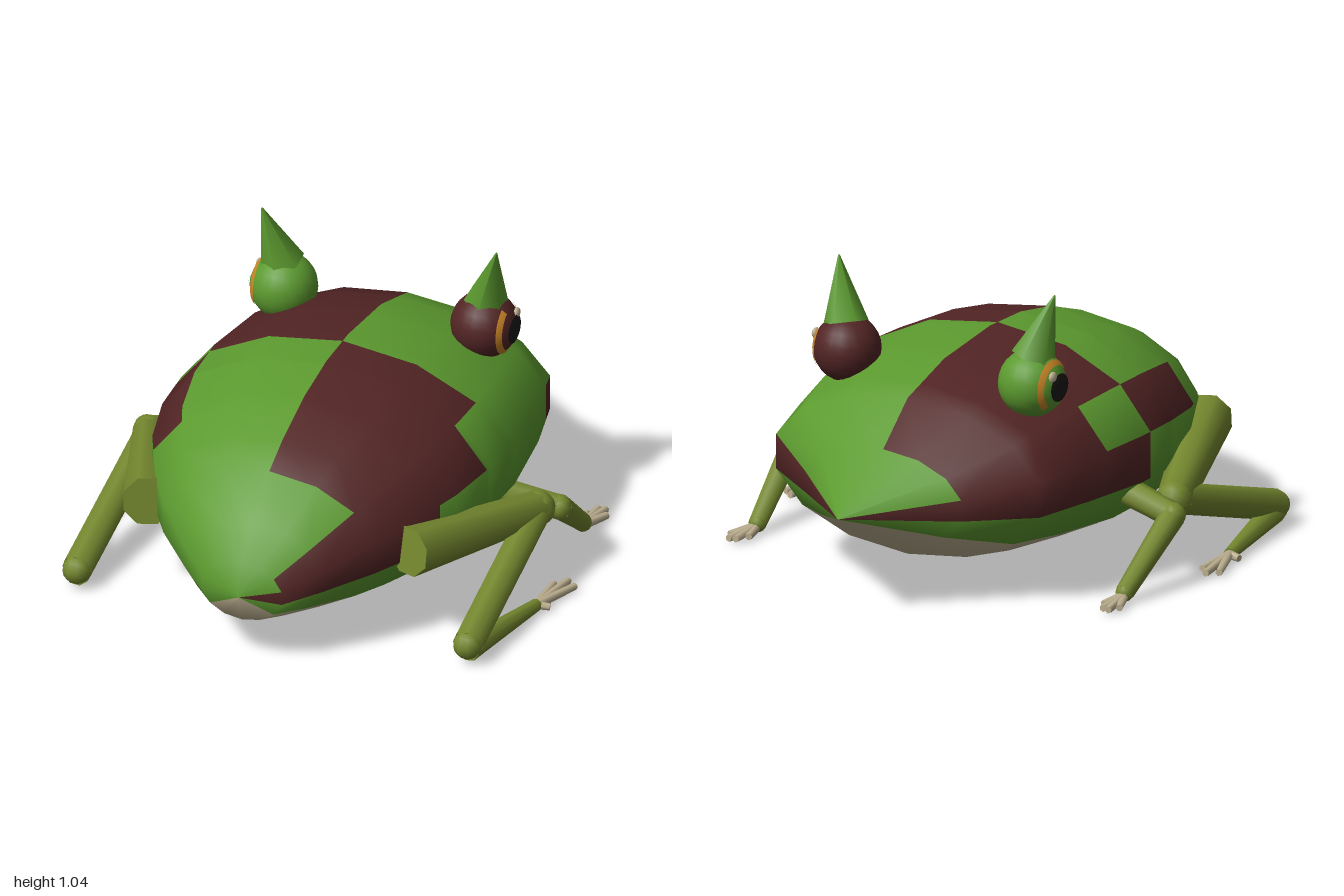
import * as THREE from 'three';

const mat = (name, color) => {
  const m = new THREE.MeshStandardMaterial({ color });
  m.name = name;
  return m;
};

export function createModel() {
  const root = new THREE.Group();
  root.name = 'hornedFrog';
  const green = mat('leaf green', 0x5c9a2f);
  const maroon = mat('maroon', 0x522424);
  const cream = mat('cream', 0xbfb292);
  const olive = mat('olive', 0x75882f);
  const gold = mat('gold', 0xc88426);
  const black = mat('black', 0x1a1918);

  const V = (p) => new THREE.Vector3(...p);
  const add = (parent, name, geo, material, pos) => {
    const m = new THREE.Mesh(geo, material);
    m.name = name;
    if (pos) m.position.set(...pos);
    parent.add(m);
    return m;
  };
  // Tapered rod between two points
  const rod = (parent, name, a, b, ra, rb, material, sides = 8) => {
    const A = V(a), B = V(b), d = B.clone().sub(A);
    const m = add(parent, name, new THREE.CylinderGeometry(rb, ra, d.length(), sides), material);
    m.position.copy(A).add(B).multiplyScalar(0.5);
    m.quaternion.setFromUnitVectors(new THREE.Vector3(0, 1, 0), d.normalize());
    return m;
  };
  const ball = (parent, name, p, r, material) =>
    add(parent, name, new THREE.SphereGeometry(r, 10, 8), material, p);

  // Body outline: z, half width, bottom y, top y
  const outline = [
    [-1, 0.0, 0.37, 0.37], [-0.7, 0.32, 0.2, 0.54], [-0.54, 0.54, 0.12, 0.68],
    [-0.3, 0.595, 0.075, 0.755], [0, 0.63, 0.042, 0.79], [0.2, 0.62, 0.042, 0.785],
    [0.4, 0.575, 0.055, 0.75], [0.6, 0.48, 0.082, 0.68], [0.72, 0.4, 0.1, 0.62],
    [0.87, 0.26, 0.14, 0.49], [0.97, 0.15, 0.17, 0.39], [1, 0, 0.27, 0.27],
  ];
  const at = (z) => {
    const k = Math.max(1, outline.findIndex((o) => o[0] >= z));
    const a = outline[k - 1], b = outline[k], t = (z - a[0]) / (b[0] - a[0]);
    return a.map((v, n) => v + (b[n] - v) * t);
  };
  const stations = [...new Set([...outline.map((o) => o[0]), -0.45, -0.2, 0.05, 0.22, 0.47])]
    .sort((a, b) => a - b);

  // Maroon patches: [first z, last z] for each strip counted down from the spine
  const patches = {
    left: [[[0.05, 0.72]], [[0.05, 0.72]], [[0.22, 0.97]], [[-1, -0.45], [0.47, 1]], []],
    right: [[[-0.7, 0.05]], [[-0.7, 0.05]], [[-0.7, -0.2], [0.05, 0.47]], [[-1, 0.05]], []],
  };
  const SIDES = 14, pos = [], faces = [[], [], []];
  for (const s of stations) {
    const [z, w, lo, hi] = at(s);
    for (let i = 0; i < SIDES; i++) {
      const a = (i / SIDES) * Math.PI * 2;
      pos.push(w * Math.sin(a), (lo + hi) / 2 + ((hi - lo) / 2) * Math.cos(a), z);
    }
  }
  for (let j = 0; j < stations.length - 1; j++) {
    const zm = (stations[j] + stations[j + 1]) / 2;
    for (let i = 0; i < SIDES; i++) {
      const strip = i < 7 ? i : 13 - i;
      const list = patches[i < 7 ? 'left' : 'right'][strip];
      const tone = !list ? 2 : list.some(([p, q]) => zm > p && zm < q) ? 1 : 0;
      const n = (i + 1) % SIDES;
      const a = j * SIDES + i, b = j * SIDES + n, c = b + SIDES, d = a + SIDES;
      if (j < stations.length - 2) faces[tone].push(a, d, c);
      if (j > 0) faces[tone].push(a, c, b);
      if (j === stations.length - 2) faces[tone].push(a, d, b);
    }
  }
  const skin = new THREE.BufferGeometry();
  skin.setAttribute('position', new THREE.Float32BufferAttribute(pos, 3));
  skin.setIndex(faces.flat());
  let start = 0;
  faces.forEach((f, n) => {
    skin.addGroup(start, f.length, n);
    start += f.length;
  });
  skin.computeVertexNormals();
  add(root, 'body', skin, [green, maroon, cream]);

  for (const s of [1, -1]) {
    const side = s > 0 ? 'left' : 'right';
    const P = (x, y, z) => [s * x, y, z];

    // Eye with pole turned outward for the iris, pupil and glint
    const eye = new THREE.Group();
    eye.name = side + 'Eye';
    eye.position.set(s * 0.37, 0.74, -0.33);
    root.add(eye);
    add(eye, 'eyeball', new THREE.SphereGeometry(0.118, 20, 14), s > 0 ? maroon : green);
    const face = new THREE.Group();
    face.name = 'eyeMarkings';
    face.rotation.z = -s * Math.PI / 2;
    eye.add(face);
    const cap = (name, r, p0, pl, t0, tl, material) =>
      add(face, name, new THREE.SphereGeometry(r, 20, 5, p0, pl, t0, tl), material);
    cap('irisRing', 0.121, 0.4, 5.2, 0.68, 0.2, gold);
    cap('pupil', 0.121, 0, Math.PI * 2, 0, 0.42, black).scale.z = 1.15;
    const glint = new THREE.Mesh(new THREE.SphereGeometry(0.02, 8, 6), cream);
    glint.name = 'glint';
    glint.position.set(s * 0.104, 0.045, -0.035);
    glint.scale.x = 0.6;
    eye.add(glint);
    // Horn above the eye
    rod(root, side + 'Horn', P(0.375, 0.83, -0.33), P(0.432, 1.05, -0.283), 0.078, 0.003, green, 6);

    // Hind leg
    const hind = new THREE.Group();
    hind.name = side + 'HindLeg';
    root.add(hind);
    const knee = P(0.715, 0.28, 0.04), heel = P(0.72, 0.078, 0.69), ankle = P(0.8, 0.032, 0.26);
    rod(hind, 'thigh', P(0.48, 0.365, 0.64), knee, 0.09, 0.062, olive);
    ball(hind, 'knee', knee, 0.062, olive);
    rod(hind, 'shin', knee, heel, 0.055, 0.055, olive);
    ball(hind, 'heel', heel, 0.052, olive);
    rod(hind, 'foot', P(0.72, 0.06, 0.69), ankle, 0.045, 0.022, olive);
    for (const [x, z] of [[0.795, 0.09], [0.832, 0.05], [0.868, 0.08], [0.845, 0.25]])
      rod(hind, 'toe', ankle, P(x, 0.027, z), 0.016, 0.013, cream, 6);

    // Front leg
    const fore = new THREE.Group();
    fore.name = side + 'FrontLeg';
    root.add(fore);
    const elbow = P(0.76, 0.25, -0.045), wrist = P(0.735, 0.045, -0.32);
    rod(fore, 'upperArm', P(0.52, 0.3, 0), elbow, 0.05, 0.045, olive);
    ball(fore, 'elbow', elbow, 0.045, olive);
    rod(fore, 'forearm', elbow, wrist, 0.045, 0.033, olive);
    ball(fore, 'wrist', wrist, 0.032, olive);
    for (const [x, z] of [[0.71, -0.42], [0.735, -0.465], [0.76, -0.47], [0.78, -0.43]])
      rod(fore, 'finger', P(0.735, 0.035, -0.32), P(x, 0.027, z), 0.017, 0.013, cream, 6);
  }
  return root;
}
